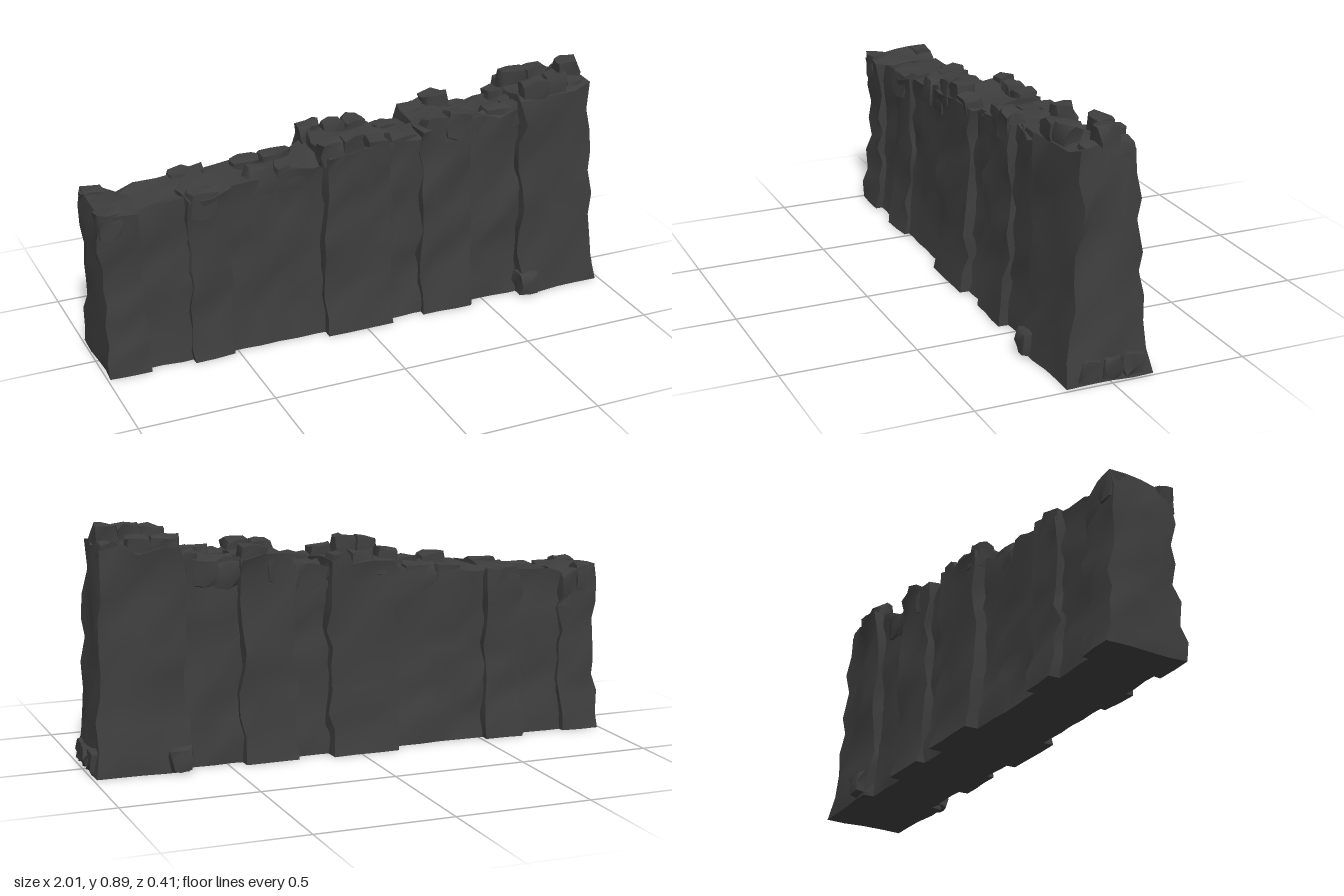
import * as THREE from 'three';
import { mergeVertices, toCreasedNormals } from 'three/addons/utils/BufferGeometryUtils.js';

const stone = new THREE.MeshStandardMaterial({ color: 0x3e3e3e });
stone.name = 'dark stone';

// Repeatable noise in -1..1 from a position
function noise(x, y, z, k) {
  const s = Math.sin(x * 127.1 + y * 311.7 + z * 74.7 + k * 53.3) * 43758.5453;
  return (s - Math.floor(s)) * 2 - 1;
}

// Unit box whose shared corners are moved by a rule, softened but with sharp breaks kept
function roughBox(nx, ny, nz, move) {
  let g = new THREE.BoxGeometry(1, 1, 1, nx, ny, nz);
  g.deleteAttribute('uv');
  g.deleteAttribute('normal');
  g = mergeVertices(g, 1e-4);
  const p = g.attributes.position;
  const v = new THREE.Vector3();
  for (let i = 0; i < p.count; i++) {
    v.fromBufferAttribute(p, i);
    move(v);
    p.setXYZ(i, v.x, v.y, v.z);
  }
  return toCreasedNormals(g, 0.95);
}

function add(group, name, geometry) {
  const mesh = new THREE.Mesh(geometry, stone);
  mesh.name = name;
  group.add(mesh);
}

// Battered masonry slab standing on the ground, with front and back depth at its foot
function slab(x0, x1, h0, h1, front, back, endTaper = 0) {
  const w = x1 - x0;
  return roughBox(Math.max(2, Math.round(w / 0.075)), 9, 4, (v) => {
    const u = v.x + 0.5, t = v.y + 0.5, s = v.z * 2;
    const h = THREE.MathUtils.lerp(h0, h1, u);
    const x = x0 + u * w, y = t * h;
    // Steep foot, gentler shaft, slight lip at the top
    let batter = 1 - 0.12 * Math.min(1, t / 0.25) - 0.13 * t + 0.04 * Math.max(0, (t - 0.75) / 0.25);
    batter *= 1 - endTaper * u * (0.2 + 0.8 * t);
    const j = (k) => noise(x, y, s, k);
    const depth = s > 0 ? front : back;
    const lean = endTaper * 0.14 * u * (1 - Math.pow(1 - t, 2));
    // Stones stand proud on the faces, and the ends bow in the middle height
    const foot = t === 0 ? 0.4 : 1;
    v.x = x + j(1) * 0.014 * foot - lean;
    v.y = t === 0 ? 0 : y + j(2) * 0.018;
    v.z = s * depth * batter + j(3) * 0.014 * foot;
  });
}

// Loose broken stone with worn corners lying on the wall top
function block(x, top, z, w, h, d, tilt) {
  const g = roughBox(2, 2, 2, (v) => {
    const a = [v.x + x, v.y + top, v.z + z];
    const worn = v.length() > 0.8 ? 0.9 : 1;
    v.set(v.x * w, v.y * h, v.z * d).multiplyScalar(worn);
    v.x += noise(...a, 4) * 0.01;
    v.y += noise(...a, 5) * 0.008;
    v.z += noise(...a, 6) * 0.009;
  });
  g.rotateZ(tilt);
  g.translate(x, top - h / 2, z);
  return g;
}

export function createModel() {
  const wall = new THREE.Group();
  wall.name = 'ruinedWall';

  // Recessed wall bays: x0, x1, height at each end, front and back depth
  const bays = [
    [-0.87, -0.64, 0.605, 0.625, 0.13, 0.135],
    [-0.55, -0.12, 0.635, 0.675, 0.13, 0.135],
    [0.08, 0.28, 0.695, 0.715, 0.135, 0.135],
    [0.41, 0.69, 0.735, 0.76, 0.13, 0.13],
  ];
  bays.forEach((b) => add(wall, 'wallBay', slab(...b)));

  // Projecting buttresses, the last one a leaning end pier
  const piers = [
    [-0.99, -0.84, 0.625, 0.605, 0.155, 0.165],
    [-0.67, -0.52, 0.625, 0.645, 0.155, 0.17],
    [-0.15, 0.11, 0.715, 0.715, 0.178, 0.188],
    [0.24, 0.44, 0.745, 0.755, 0.16, 0.17],
    [0.65, 0.985, 0.785, 0.81, 0.17, 0.172, 0.26],
  ];
  piers.forEach((b) => add(wall, 'buttress', slab(...b)));

  // Broken parapet: x, top, width, distance from the middle; stones pair up across the wall
  const parapet = [
    [-0.95, 0.635, 0.08, 0.095], [-0.61, 0.655, 0.11, 0.1],
    [-0.38, 0.69, 0.1, 0.07], [-0.27, 0.68, 0.11, 0.07],
    [-0.12, 0.76, 0.08, 0.105], [-0.03, 0.765, 0.08, 0.1], [0.06, 0.74, 0.08, 0.105],
    [0.18, 0.72, 0.11, 0.07], [0.3, 0.775, 0.09, 0.09], [0.39, 0.785, 0.09, 0.095],
    [0.48, 0.75, 0.08, 0.07], [0.56, 0.77, 0.1, 0.07], [0.63, 0.775, 0.08, 0.07],
    [0.71, 0.85, 0.1, 0.085], [0.8, 0.86, 0.09, 0.08],
  ];
  parapet.forEach(([x, top, w, z], i) => {
    for (const side of [1, -1]) {
      const drop = side > 0 ? 0 : 0.012 * (i % 3);
      const tilt = 0.1 * noise(x, top, side, 7);
      add(wall, 'parapetStone', block(x, top - drop, side * z, w, 0.1, 0.07, tilt));
    }
  });

  // Single stones on the end pier
  add(wall, 'endStone', block(0.9, 0.875, -0.005, 0.08, 0.1, 0.075, 0.1));
  add(wall, 'endStone', block(0.9, 0.82, 0.055, 0.08, 0.1, 0.06, -0.08));
  add(wall, 'endStone', block(0.9, 0.82, -0.06, 0.08, 0.1, 0.06, 0.06));

  // Spread stones at the foot of the end pier
  for (const [x, z] of [[0.955, 0.08], [0.96, 0], [0.955, -0.08], [0.68, 0.16], [0.69, -0.165]]) {
    add(wall, 'footStone', block(x, 0.09, z, 0.08, 0.08, 0.07, 0));
  }
  return wall;
}
